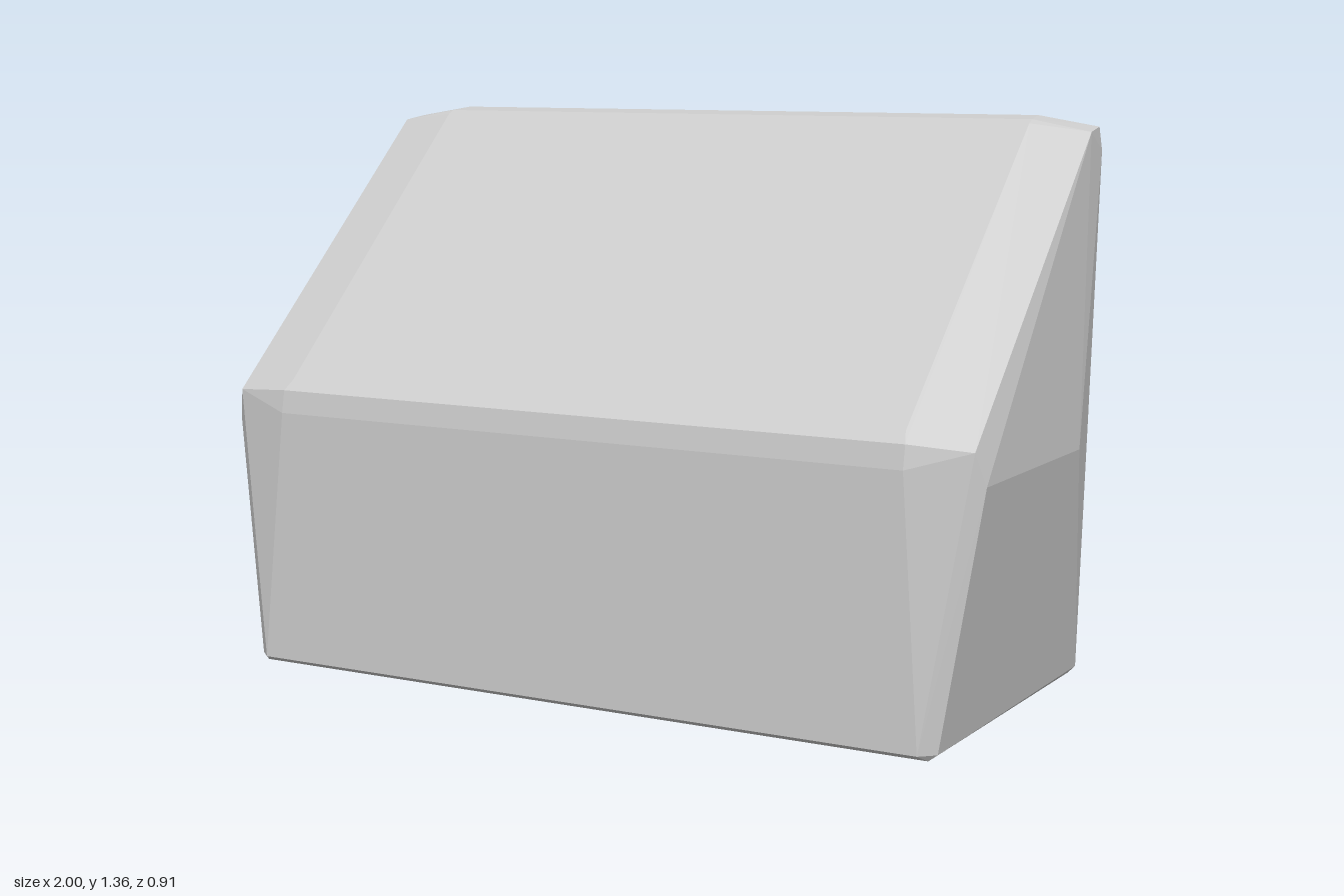
import * as THREE from 'three';
import { ConvexGeometry } from 'three/addons/geometries/ConvexGeometry.js';

export function createModel() {
  const group = new THREE.Group();

  // Corner points of the +x half of the bevelled wedge, mirrored below
  const half = [
    // base and its thin bevel
    [0.895, 0, 0.43], [0.895, 0, -0.43],
    [0.915, 0.015, 0.425], [0.915, 0.02, -0.425],
    [0.88, 0.015, 0.457], [0.88, 0.02, -0.457],
    // widest line of the bulging side
    [1.0, 0.6, 0.385], [1.0, 0.6, -0.18],
    // front lip below the slope
    [0.83, 0.63, 0.438], [0.83, 0.685, 0.428], [0.82, 0.71, 0.403],
    [0.98, 0.675, 0.405],
    // rounded crest
    [0.82, 1.343, -0.285], [0.82, 1.352, -0.305], [0.81, 1.36, -0.37],
    [0.968, 1.325, -0.3], [0.962, 1.335, -0.37], [0.965, 1.28, -0.383],
    // upper back edge
    [0.87, 1.335, -0.437], [0.88, 1.305, -0.452],
  ];
  const points = half.flatMap(([x, y, z]) => [
    new THREE.Vector3(x, y, z),
    new THREE.Vector3(-x, y, z),
  ]);

  const body = new THREE.Mesh(
    new ConvexGeometry(points),
    new THREE.MeshStandardMaterial({ color: 0xcccccc, flatShading: true })
  );
  body.name = 'wedgeBlock';
  group.add(body);
  return group;
}
